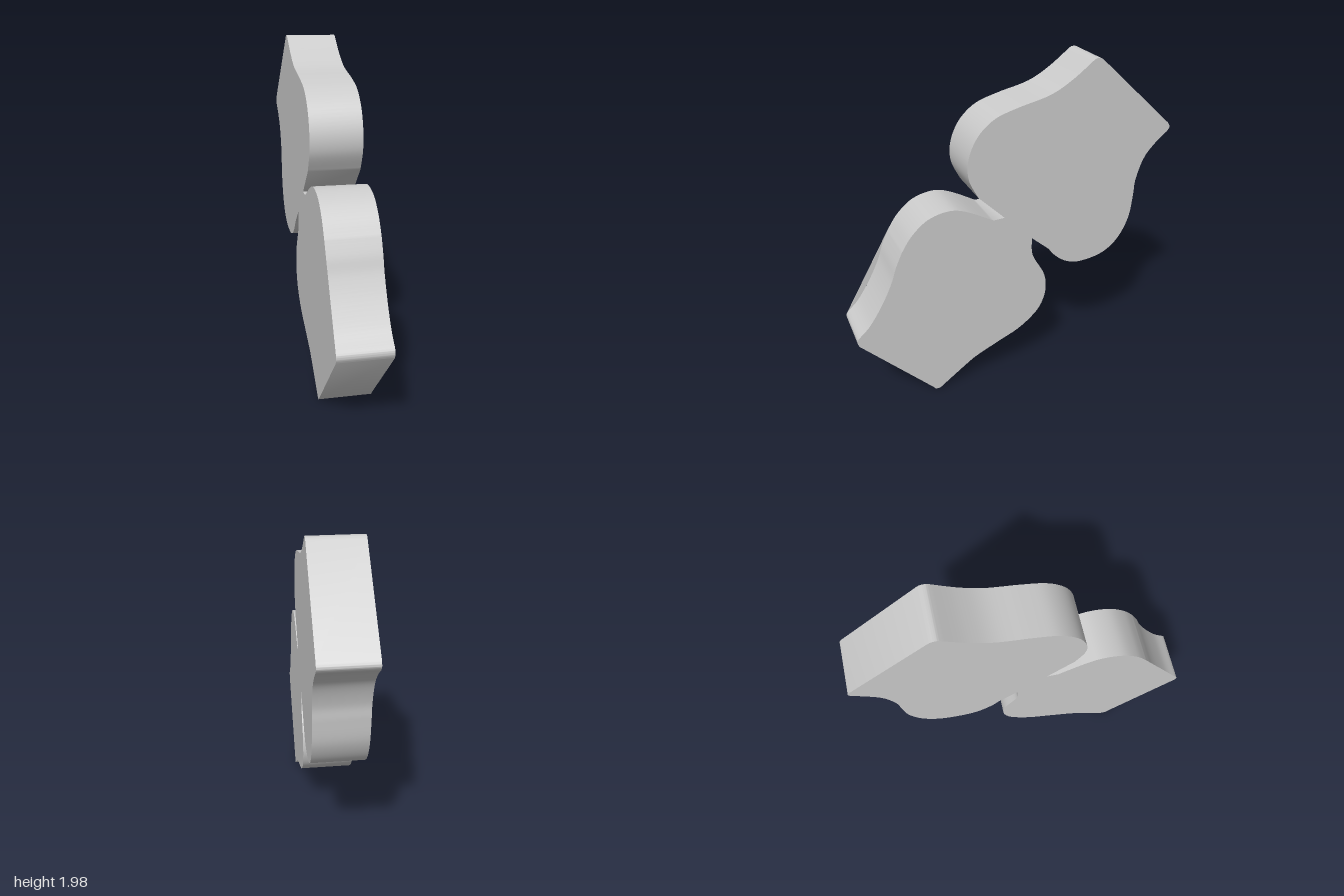
import * as THREE from 'three';
import { toCreasedNormals } from 'three/addons/utils/BufferGeometryUtils.js';

const HALF = 0.153; // half thickness along x

// [z, y] pairs to shape points (shape x runs along -z)
const toPoints = (list) => list.map(([z, y]) => new THREE.Vector2(-z, y));

// Stretches of the outline; each is a smooth curve, joined by straight lines
const lowerFront = [[0.152, 1.10], [0.313, 1.185], [0.42, 1.21], [0.543, 1.18], [0.64, 1.10], [0.705, 1.005]];
const lowerHollow = [[0.705, 1.005], [0.745, 0.915], [0.778, 0.82], [0.837, 0.70], [0.917, 0.575], [0.985, 0.507]];
const frontTip = [[0.985, 0.507], [0.998, 0.49], [1.0, 0.468], [0.99, 0.445]];
const bottomTip = [[0.564, 0.018], [0.552, 0.004], [0.537, 0], [0.52, 0.003], [0.505, 0.013]];
const lowerBack = [[0.505, 0.013], [0.345, 0.13], [0.27, 0.178], [0.13, 0.243], [-0.02, 0.313], [-0.136, 0.41],
  [-0.184, 0.505], [-0.193, 0.595], [-0.174, 0.68], [-0.11, 0.794], [-0.094, 0.853], [-0.094, 0.933]];
const upperBack = [[-0.206, 0.837], [-0.26, 0.773], [-0.34, 0.72], [-0.436, 0.703], [-0.58, 0.73], [-0.687, 0.81],
  [-0.757, 0.944], [-0.78, 1.094], [-0.789, 1.2], [-0.837, 1.335], [-0.912, 1.425], [-0.985, 1.485]];
const backTip = [[-0.985, 1.485], [-0.998, 1.505], [-0.998, 1.52], [-0.985, 1.54]];
const topTip = [[-0.516, 1.97], [-0.5, 1.98], [-0.484, 1.982], [-0.468, 1.98], [-0.452, 1.97]];
const upperFront = [[-0.452, 1.97], [-0.324, 1.875], [-0.19, 1.805], [0.003, 1.757], [0.142, 1.709], [0.243, 1.618],
  [0.297, 1.495], [0.297, 1.377], [0.243, 1.26]];

function plateOutline() {
  const shape = new THREE.Shape();
  shape.moveTo(-0.083, 1.104);
  for (const part of [lowerFront, lowerHollow, frontTip, bottomTip, lowerBack, upperBack, backTip, topTip, upperFront]) {
    const [first, ...rest] = toPoints(part);
    if (shape.currentPoint.distanceTo(first) > 1e-4) shape.lineTo(first.x, first.y);
    shape.splineThru(rest);
  }
  shape.closePath();
  return shape;
}

export function createModel() {
  const group = new THREE.Group();
  group.name = 'twoLobedPlate';

  // Thick plate: two lobes joined by a narrow waist
  const plateGeometry = new THREE.ExtrudeGeometry(plateOutline(), {
    depth: 2 * HALF, bevelEnabled: false, curveSegments: 5,
  });
  plateGeometry.translate(0, 0, -HALF).rotateY(Math.PI / 2);
  const plate = new THREE.Mesh(
    toCreasedNormals(plateGeometry, 0.6),
    new THREE.MeshStandardMaterial({ color: 0xcccccc }),
  );
  plate.name = 'plate';
  group.add(plate);

  // Thin web closing the lower lobe's hollow on one face only
  const curve = new THREE.SplineCurve(toPoints(lowerHollow));
  const webShape = new THREE.Shape([...curve.getPoints(25), ...toPoints([[0.998, 0.49]])]);
  const webGeometry = new THREE.ShapeGeometry(webShape);
  webGeometry.translate(0, 0, -HALF).rotateY(Math.PI / 2);
  const web = new THREE.Mesh(
    webGeometry,
    new THREE.MeshStandardMaterial({ color: 0xcccccc, side: THREE.DoubleSide }),
  );
  web.name = 'hollowWeb';
  group.add(web);

  return group;
}
